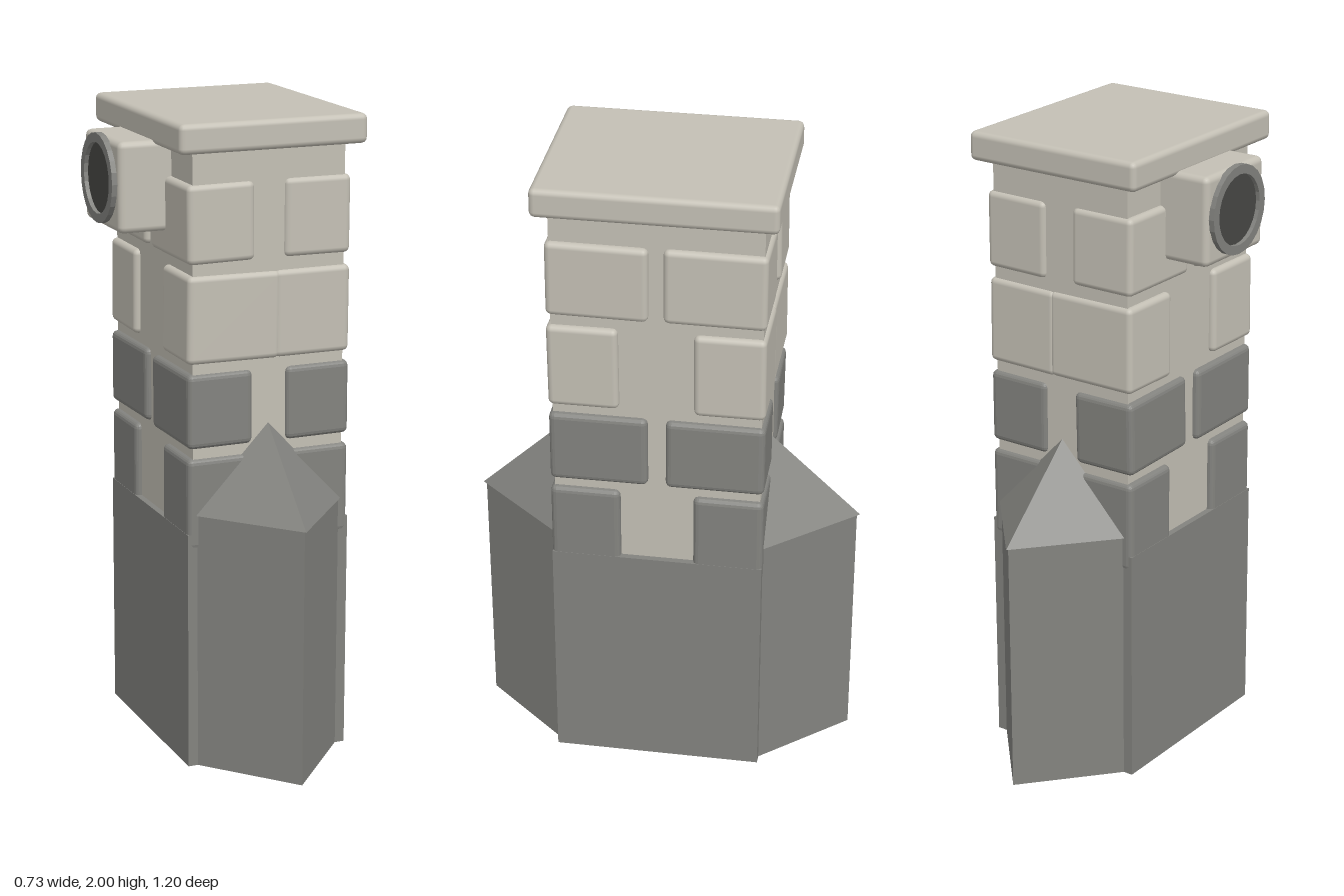
import * as THREE from 'three';
import { RoundedBoxGeometry } from 'three/addons/geometries/RoundedBoxGeometry.js';

const CX = 0.06; // the shaft stands slightly off centre, making room for the vent

export function createModel() {
  const tower = new THREE.Group();
  tower.name = 'stoneTower';

  const mat = (name, color, extra = {}) => {
    const m = new THREE.MeshStandardMaterial({ color, ...extra });
    m.name = name;
    return m;
  };
  const light = mat('lightStone', 0xc4c0b5);
  const dark = mat('darkStone', 0x83837f, { flatShading: true, side: THREE.DoubleSide });
  const hole = mat('ventShadow', 0x484845);

  const add = (name, geometry, material, x, y, z, parent = tower) => {
    const mesh = new THREE.Mesh(geometry, material);
    mesh.name = name;
    mesh.position.set(x, y, z);
    parent.add(mesh);
    return mesh;
  };

  // Plinth, shaft and cap slab
  add('base', new THREE.BoxGeometry(0.53, 0.75, 0.65), dark, CX, 0.375, 0);
  add('shaft', new THREE.BoxGeometry(0.49, 1.19, 0.63), light, CX, 1.335, 0);
  add('capSlab', new RoundedBoxGeometry(0.6, 0.09, 0.72, 2, 0.018), light, CX, 1.955, 0);

  // Corner blocks: four per course, alternating long and short sides
  let seed = 7;
  const jitter = (amount) => {
    seed = (seed * 16807) % 2147483647;
    return (seed / 2147483647 - 0.5) * 2 * amount;
  };
  const courses = [
    { y0: 0.70, y1: 0.985, left: 0.21, right: 0.21, depth: 0.215, material: dark },
    { y0: 1.015, y1: 1.245, left: 0.21, right: 0.21, depth: 0.3, material: dark },
    { y0: 1.275, y1: 1.543, left: 0.245, right: 0.3, depth: 0.215, material: light },
    { y0: 1.578, y1: 1.816, left: 0.215, right: 0.215, depth: 0.305, material: light },
  ];
  const blocks = new THREE.Group();
  blocks.name = 'cornerBlocks';
  tower.add(blocks);
  for (const c of courses) {
    for (const sx of [-1, 1]) {
      for (const sz of [-1, 1]) {
        const w = sx > 0 ? c.left : c.right;
        const h = c.y1 - c.y0;
        const geometry = new RoundedBoxGeometry(w, h, c.depth, 2, 0.018);
        const block = add('cornerBlock', geometry, c.material,
          CX + sx * (0.264 - w / 2), (c.y0 + c.y1) / 2, sz * (0.327 - c.depth / 2), blocks);
        if (c.y0 > 0.75) block.rotation.set(jitter(0.012), jitter(0.012), jitter(0.012));
      }
    }
  }

  // Diamond-plan buttresses with pyramid roofs, front and back
  for (const [side, sz] of [['front', 1], ['back', -1]]) {
    const pier = add(side + 'Buttress', new THREE.CylinderGeometry(1, 1, 0.81, 4, 1, true), dark, CX, 0.405, sz * 0.3);
    pier.scale.set(0.256, 1, 0.29);
    const roof = add(side + 'ButtressRoof', new THREE.ConeGeometry(1, 0.278, 4), dark, CX, 0.949, sz * 0.3);
    roof.scale.set(0.263, 1, 0.3);
  }

  // Vent on the side: block, raised ring and dark opening
  const vent = new THREE.Group();
  vent.name = 'vent';
  tower.add(vent);
  add('ventBlock', new RoundedBoxGeometry(0.19, 0.275, 0.3, 2, 0.02), light, -0.255, 1.787, 0, vent);
  const ringShape = new THREE.Shape().absarc(0, 0, 0.136, 0, Math.PI * 2);
  ringShape.holes.push(new THREE.Path().absarc(0, 0, 0.108, 0, Math.PI * 2, true));
  const ringGeometry = new THREE.ExtrudeGeometry(ringShape, { depth: 0.02, bevelEnabled: false, curveSegments: 12 });
  add('ventRing', ringGeometry, dark, -0.346, 1.797, -0.003, vent).rotation.y = -Math.PI / 2;
  add('ventOpening', new THREE.CircleGeometry(0.11, 24), hole, -0.353, 1.797, -0.003, vent).rotation.y = -Math.PI / 2;

  return tower;
}
